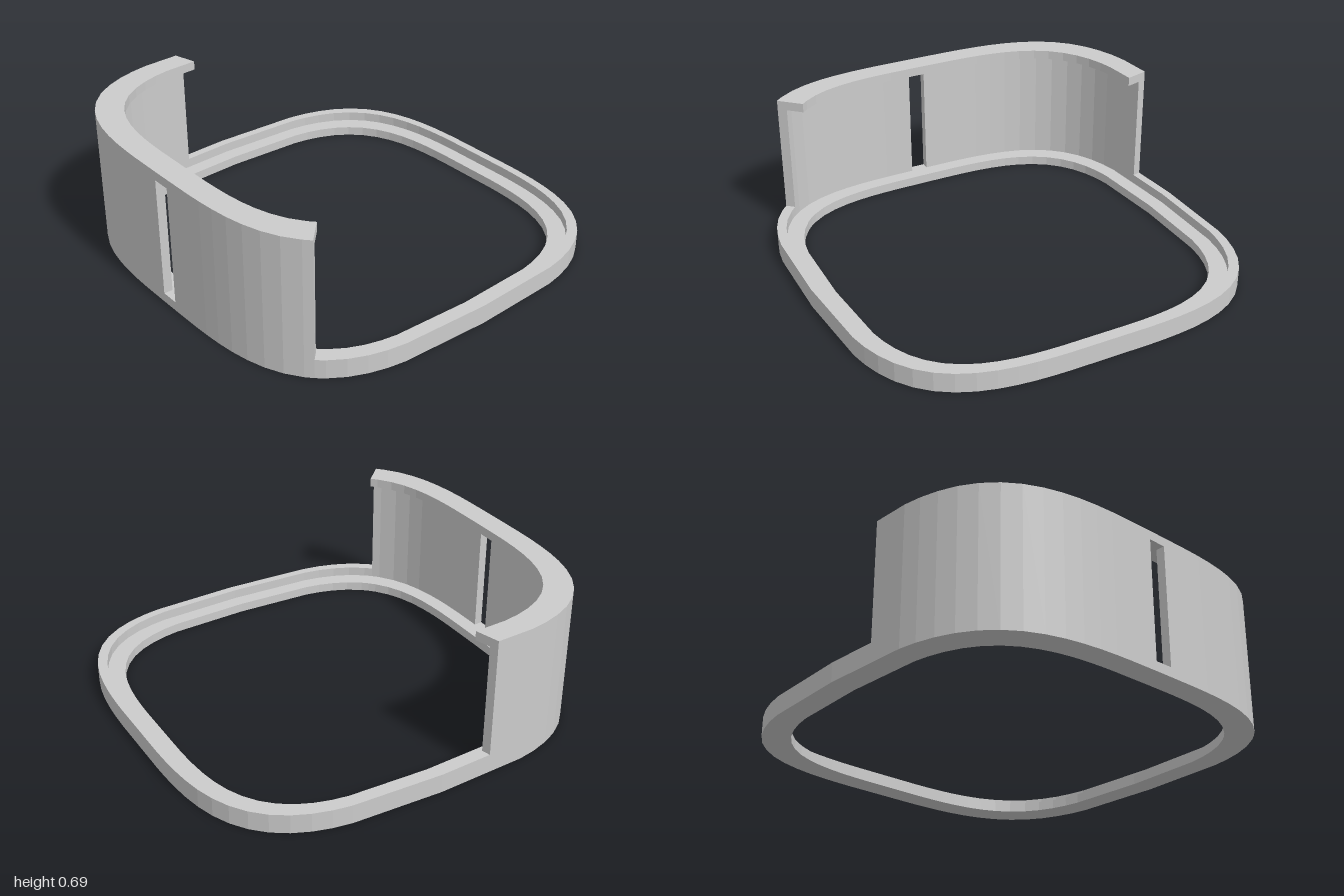
import * as THREE from 'three';

const MID = 0.957, INNER = 0.88;            // wall and ledge insets, as scales of the outline
const LEDGE = 0.047, RIM = 0.095, LIP = 0.64, TOP = 0.685;
const rad = THREE.MathUtils.degToRad;

// Rounded-square outline: distance from the centre at an angle (90 degrees is the front)
function outline(deg) {
  const c = Math.abs(Math.cos(rad(deg))), s = Math.abs(Math.sin(rad(deg)));
  return Math.min((c ** 3.5 + s ** 3.5) ** (-1 / 3.5), 1 / (c + 0.0425 * s));
}

function place([k, y], deg) {
  const r = k * outline(deg);
  return [r * Math.cos(rad(deg)), y, r * Math.sin(rad(deg))];
}

// Facet corners: long flats at the sides and front, fine steps round the corners
const corners = [];
for (let q = -180; q <= 540; q += 180) {
  corners.push(q);
  for (let i = 0; i <= 12; i++) {
    const a = 24.7 + i * 4.5;
    corners.push(q + a, q - a);
  }
}
corners.sort((a, b) => a - b);

function makeMesh(name, positions, material) {
  const geometry = new THREE.BufferGeometry();
  geometry.setAttribute('position', new THREE.Float32BufferAttribute(positions, 3));
  geometry.computeVertexNormals();
  const mesh = new THREE.Mesh(geometry, material);
  mesh.name = name;
  return mesh;
}

// Carry a closed [scale, height] profile round the outline between two angles
function sweep(profile, from, to) {
  const stops = [from, ...corners.filter((a) => a > from + 0.01 && a < to - 0.01), to];
  const out = [];
  for (let j = 0; j < stops.length - 1; j++) {
    for (let i = 0; i < profile.length; i++) {
      const p = profile[i], q = profile[(i + 1) % profile.length];
      const a = place(p, stops[j]), b = place(q, stops[j]);
      const c = place(q, stops[j + 1]), d = place(p, stops[j + 1]);
      out.push(...a, ...b, ...c, ...a, ...c, ...d);
    }
  }
  return out;
}

// Close a cut end; dir is +1 when it faces towards growing angles
function cap(profile, deg, dir) {
  const points = profile.map(([k, y]) => new THREE.Vector2(k, y));
  const out = [];
  for (const f of THREE.ShapeUtils.triangulateShape(points, [])) {
    const order = dir > 0 ? f : [f[0], f[2], f[1]];
    for (const i of order) out.push(...place(profile[i], deg));
  }
  return out;
}

const band = (inner, y0, y1) => [[1, y0], [1, y1], [inner, y1], [inner, y0]];

export function createModel() {
  const group = new THREE.Group();
  const material = new THREE.MeshStandardMaterial({ color: 0xcccccc, flatShading: true });
  const add = (name, positions) => group.add(makeMesh(name, positions, material));

  const START = 45, END = 165, SLOT = 2.58;  // raised wall span and half width of the slot
  const rimProfile = [[1, 0], [1, RIM], [MID, RIM], [MID, LEDGE], [INNER, LEDGE], [INNER, 0]];
  const wallProfile = [[1, 0], [1, TOP], [INNER, TOP], [INNER, LIP],
    [MID, LIP], [MID, LEDGE], [INNER, LEDGE], [INNER, 0]];
  const endProfile = [[1, RIM], [1, TOP], [INNER, TOP], [INNER, LIP], [MID, LIP], [MID, RIM]];

  // Stepped base ring outside the wall span
  add('baseRing', sweep(rimProfile, END, START + 360));

  // Raised wall with its inward lip, on both sides of the slot
  add('leftWall', sweep(wallProfile, START, 90 - SLOT));
  add('rightWall', sweep(wallProfile, 90 + SLOT, END));
  add('leftWallEnd', cap(endProfile, START, -1));
  add('rightWallEnd', cap(endProfile, END, 1));

  // Slot: bars below and above, and its two cheeks
  add('slotSill', sweep(band(INNER, 0, LEDGE), 90 - SLOT, 90 + SLOT));
  add('slotHead', sweep(band(INNER, LIP, TOP), 90 - SLOT, 90 + SLOT));
  add('slotLeftCheek', cap(band(MID, LEDGE, LIP), 90 - SLOT, 1));
  add('slotRightCheek', cap(band(MID, LEDGE, LIP), 90 + SLOT, -1));

  return group;
}
